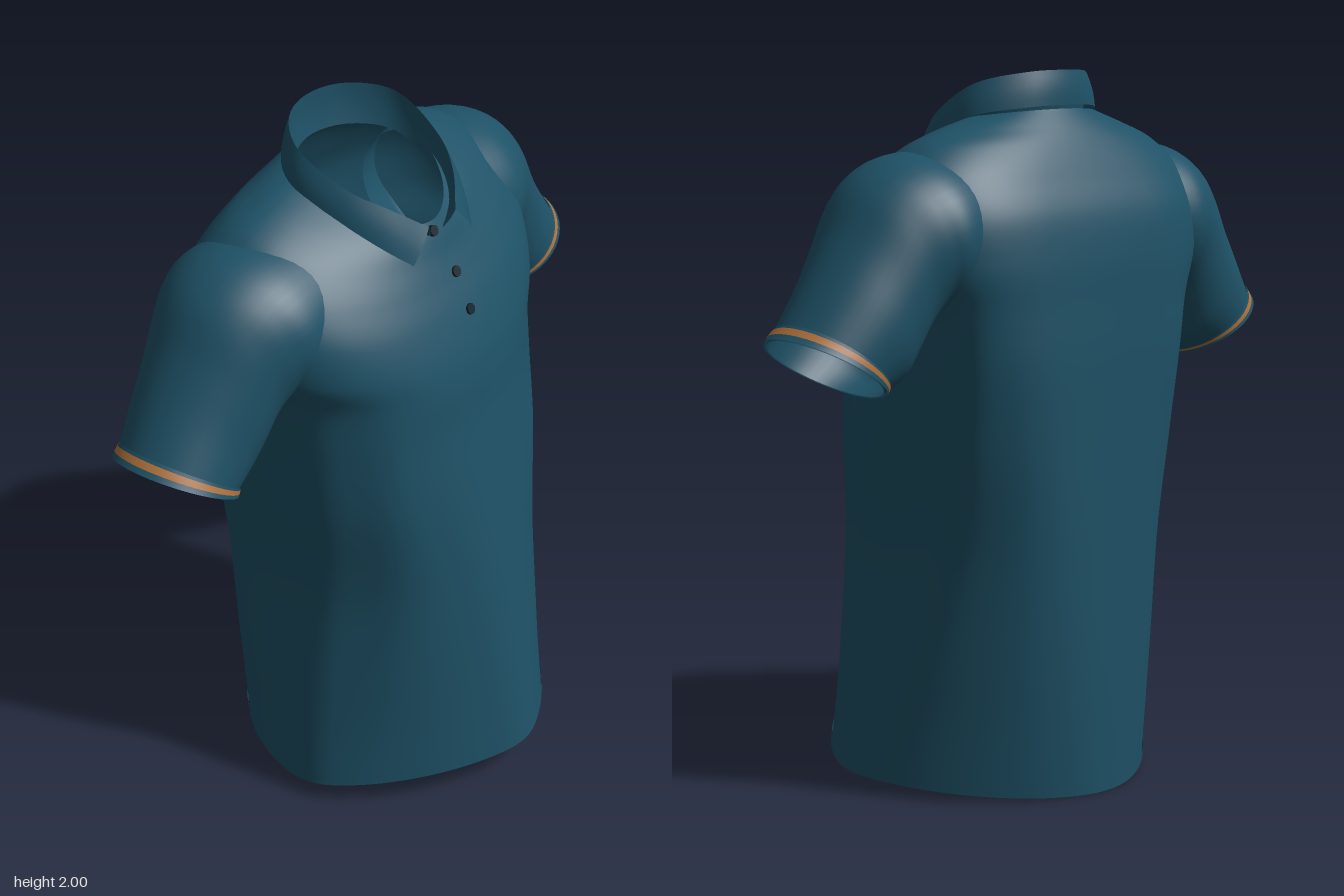
import * as THREE from 'three';

const fabric = new THREE.MeshStandardMaterial({ color: 0x1e5166, side: THREE.DoubleSide });
fabric.name = 'teal fabric';
const trim = new THREE.MeshStandardMaterial({ color: 0xb0703a, side: THREE.DoubleSide });
trim.name = 'orange trim';
const dark = new THREE.MeshStandardMaterial({ color: 0x0e2029 });
dark.name = 'dark button';

// Torso sections, hem to neck:
// back y, side y, front y, back x, front x, half width, front and back roundness, centre x
const TORSO = [
  [0.003, 0.055, 0.10, -0.48, 0.49, 0.505, 1.48, 1.75, 0.05],
  [0.30, 0.32, 0.35, -0.482, 0.455, 0.472, 1.6, 2.05, 0.03],
  [0.68, 0.69, 0.70, -0.48, 0.403, 0.435, 1.9, 2.6, 0.0],
  [1.00, 1.00, 1.00, -0.478, 0.352, 0.45, 2.3, 3.2, -0.03],
  [1.22, 1.21, 1.20, -0.478, 0.318, 0.465, 2.4, 3.6, -0.06],
  [1.37, 1.36, 1.33, -0.473, 0.303, 0.49, 2.4, 3.5, -0.10],
  [1.50, 1.48, 1.42, -0.468, 0.28, 0.55, 2.4, 3.1, -0.13],
  [1.62, 1.61, 1.52, -0.448, 0.24, 0.56, 2.4, 3.0, -0.14],
  [1.72, 1.72, 1.60, -0.404, 0.20, 0.535, 2.2, 2.7, -0.15],
  [1.80, 1.80, 1.66, -0.363, 0.17, 0.46, 2, 2.3, -0.15],
  [1.85, 1.843, 1.71, -0.332, 0.148, 0.358, 1.9, 2, -0.15],
  [1.895, 1.875, 1.75, -0.297, 0.128, 0.235, 1.8, 2, -0.15],
];

// Sleeve rings, shoulder to cuff: top z, top y, bottom z, bottom y, back x, front x
const SLEEVE = [
  [0.33, 1.79, 0.34, 1.39, -0.37, 0.09],
  [0.48, 1.787, 0.44, 1.35, -0.40, 0.10],
  [0.58, 1.757, 0.475, 1.335, -0.383, 0.08],
  [0.66, 1.695, 0.505, 1.29, -0.36, 0.057],
  [0.735, 1.58, 0.54, 1.23, -0.345, 0.042],
  [0.81, 1.47, 0.575, 1.185, -0.333, 0.03],
  [0.912, 1.325, 0.637, 1.155, -0.308, 0.025],
];

// Smooth interpolation between table rows, t in 0..1
function sample(rows, t) {
  const last = rows.length - 1;
  const f = Math.min(Math.max(t, 0), 1) * last;
  const i = Math.min(Math.floor(f), last - 1), u = f - i;
  const p = (k) => rows[Math.min(Math.max(k, 0), last)];
  return p(i).map((b, k) => {
    const a = p(i - 1)[k], c = p(i + 1)[k], d = p(i + 2)[k];
    return b + 0.5 * u * (c - a + u * (2 * a - 5 * b + 4 * c - d + u * (3 * (b - c) + d - a)));
  });
}

// Grid surface from point(row, column); closed joins the last column to the first
function surface(rows, cols, point, { closed = false, flip = false } = {}) {
  const pos = [], index = [], n = closed ? cols : cols + 1;
  for (let r = 0; r <= rows; r++)
    for (let c = 0; c < n; c++) pos.push(...point(r / rows, c / cols));
  for (let r = 0; r < rows; r++)
    for (let c = 0; c < cols; c++) {
      const a = r * n + c, b = r * n + ((c + 1) % n), d = a + n, e = b + n;
      if (flip) index.push(a, b, d, b, e, d);
      else index.push(a, d, b, b, d, e);
    }
  const geo = new THREE.BufferGeometry();
  geo.setAttribute('position', new THREE.Float32BufferAttribute(pos, 3));
  geo.setIndex(index);
  geo.computeVertexNormals();
  return geo;
}

// One point of a torso section before its corners are softened
function sectionPoint(t, angle) {
  const [yB, yS, yF, xB, xF, half, nF, nB, cx] = sample(TORSO, t);
  const c = Math.cos(angle), s = Math.sin(angle), front = c > 0;
  const e = 2 / (front ? nF : nB), ac = Math.abs(c);
  return [
    cx + ((front ? xF : xB) - cx) * ac ** e,
    yS + ((front ? yF : yB) - yS) * ac ** 1.3,
    Math.sign(s) * half * Math.abs(s) ** e,
  ];
}

// Softened torso point with gentle draped folds at the sides
function torsoPoint(t, angle, out = 0) {
  const [a, b, d] = [-0.2, 0, 0.2].map((k) => sectionPoint(t, angle + k));
  const s = Math.sin(angle);
  const fold = 0.008 * Math.sin(angle * 9 + t * 7) * Math.sin(Math.PI * Math.min(t * 1.8, 1)) * s * s;
  return [
    (a[0] + b[0] + d[0]) / 3 + Math.cos(angle) * (out + fold),
    (a[1] + b[1] + d[1]) / 3,
    (a[2] + b[2] + d[2]) / 3 + s * (out + fold),
  ];
}

// The right sleeve hangs slightly further back than the left
function sleevePoint(t, angle, side, out = 0) {
  const [tz, ty, bz, by, xB, xF] = sample(SLEEVE, t);
  const c = Math.cos(angle), s = Math.sin(angle);
  const len = Math.hypot(tz - bz, ty - by), k = 0.5 + s * (0.5 + out / len);
  return [
    (xB + xF) / 2 + c * ((xF - xB) / 2 + out) - (side < 0 ? 0.025 * t : 0),
    by + (ty - by) * k,
    side * (bz + (tz - bz) * k),
  ];
}

export function createModel() {
  const model = new THREE.Group();
  model.name = 'poloShirt';
  const add = (name, geo, mat = fabric) => {
    const mesh = new THREE.Mesh(geo, mat);
    mesh.name = name;
    model.add(mesh);
    return mesh;
  };
  const TAU = Math.PI * 2;

  // Torso and its turned hem
  add('torso', surface(88, 96, (r, c) => torsoPoint(r, c * TAU), { closed: true }));
  add('hemBand', surface(2, 96, (r, c) => torsoPoint(r * 0.016, c * TAU, 0.003), { closed: true }));

  // Sleeves with a slightly flared cuff band and trim stripe
  const flare = (t) => 0.002 + 0.16 * (t - 0.945);
  for (const side of [1, -1]) {
    const name = side > 0 ? 'left' : 'right';
    const tube = (from, to, rows, out) => surface(rows, 48, (r, c) => {
      const t = from + (to - from) * r;
      return sleevePoint(t, c * TAU, side, out(t));
    }, { closed: true, flip: side > 0 });
    add(name + 'Sleeve', tube(0, 1, 40, () => 0));
    add(name + 'CuffBand', tube(0.945, 1, 3, flare));
    add(name + 'CuffStripe', tube(0.954, 0.976, 1, (t) => flare(t) + 0.0015), trim);
  }

  // Folded collar: outer edge, fold line and inner edge, back centre to front tip
  const edge = (half) => {
    const all = [...half.slice(1).reverse().map(([x, y, z]) => [x, y, -z]), ...half];
    return new THREE.CatmullRomCurve3(all.map((p) => new THREE.Vector3(...p)));
  };
  const outer = edge([[-0.305, 1.905, 0], [-0.28, 1.9, 0.13], [-0.17, 1.876, 0.24],
    [0, 1.805, 0.232], [0.105, 1.735, 0.182], [0.162, 1.685, 0.132]]);
  const fold = edge([[-0.295, 2.0, 0], [-0.262, 1.994, 0.12], [-0.16, 1.965, 0.212],
    [0, 1.885, 0.198], [0.09, 1.835, 0.14], [0.158, 1.77, 0.06]]);
  const inner = edge([[-0.285, 1.88, 0], [-0.245, 1.875, 0.12], [-0.15, 1.85, 0.2],
    [0, 1.785, 0.182], [0.085, 1.74, 0.12], [0.135, 1.715, 0.02]]);
  const leaf = (from, to, name) => add(name, surface(60, 5, (r, c) => {
    const p = from.getPoint(r).lerp(to.getPoint(r), c);
    const puff = 1 + 0.02 * Math.sin(Math.PI * c);
    return [(p.x + 0.1) * puff - 0.1, p.y, p.z * puff];
  }));
  leaf(outer, fold, 'collarLeaf');
  leaf(fold, inner, 'collarStand');

  // Button placket lying on the chest
  add('placket', surface(24, 4, (r, c) => torsoPoint(0.53 + 0.47 * r, -0.1 + 0.14 * c, 0.004)));

  // Buttons, each seated at its height on the chest
  [1.73, 1.61, 1.51].forEach((y, i) => {
    let lo = 0.5, hi = 1;
    for (let k = 0; k < 30; k++) {
      const mid = (lo + hi) / 2;
      if (torsoPoint(mid, 0)[1] < y) lo = mid; else hi = mid;
    }
    const p = new THREE.Vector3(...torsoPoint(lo, 0));
    const up = new THREE.Vector3(...torsoPoint(lo - 0.02, 0)).sub(p).negate();
    const normal = new THREE.Vector3(up.y, -up.x, 0).normalize();
    const button = add('button' + (i + 1), new THREE.CylinderGeometry(0.015, 0.016, 0.01, 20), dark);
    button.position.copy(p).addScaledVector(normal, 0.005);
    button.position.z = i === 0 ? 0.015 : -0.013;
    button.quaternion.setFromUnitVectors(new THREE.Vector3(0, 1, 0), normal);
  });

  return model;
}
